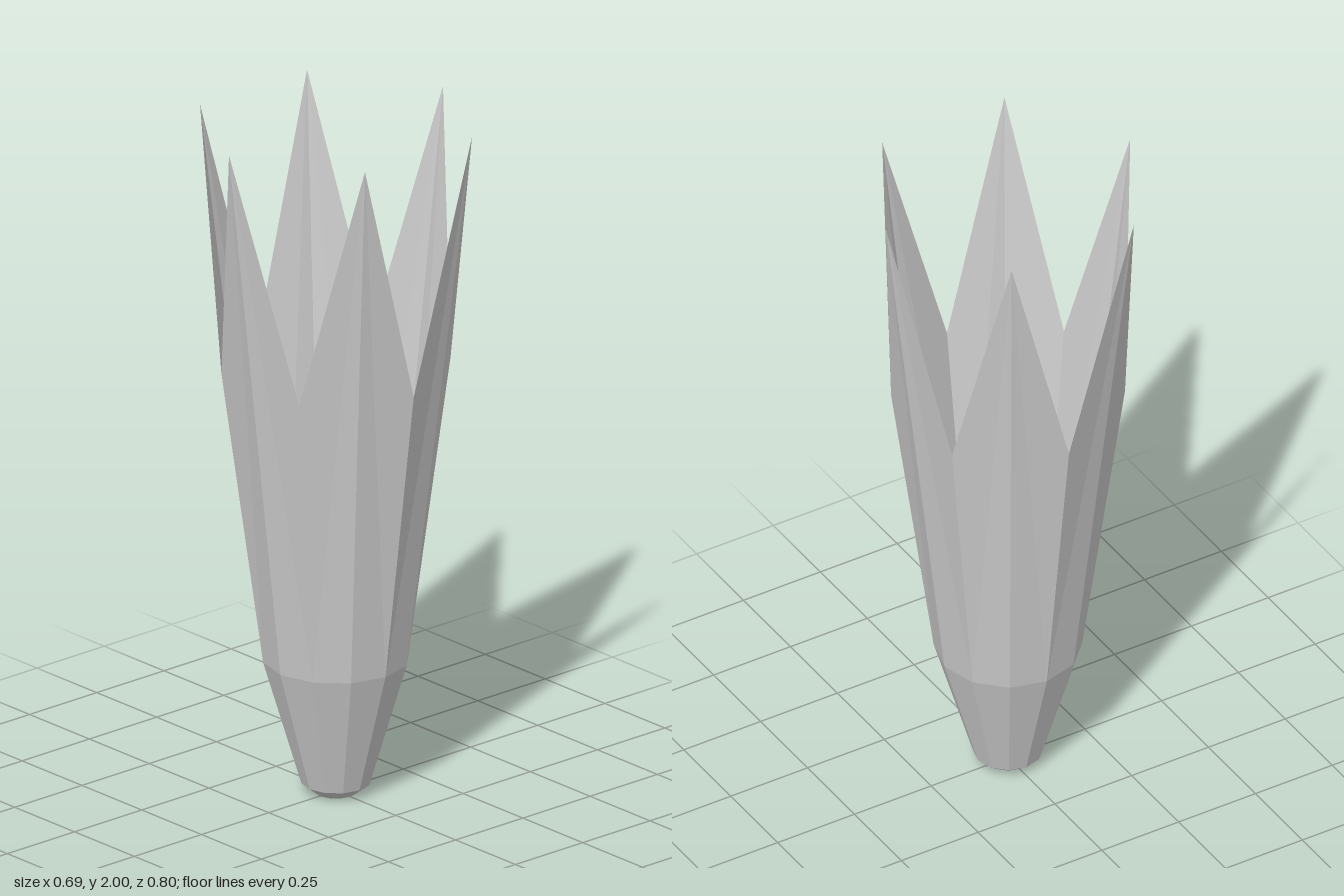
import * as THREE from 'three';

const SIDES = 12;

// Ring corner k: even corners face the petal tips, odd ones the notches
function corner(radius, y, k) {
  const a = (k / SIDES) * Math.PI * 2;
  return [radius * Math.sin(a), y, radius * Math.cos(a)];
}

// Shell between two rings; each ring is a function k -> point
function shell(name, lower, upper, material) {
  const pos = [];
  for (let k = 0; k < SIDES; k++) {
    const a = lower(k), b = lower(k + 1), c = upper(k), d = upper(k + 1);
    // diagonals start at the even corners so each petal is symmetric
    if (k % 2 === 0) pos.push(...a, ...b, ...c, ...b, ...d, ...c);
    else pos.push(...a, ...b, ...d, ...a, ...d, ...c);
  }
  const geometry = new THREE.BufferGeometry();
  geometry.setAttribute('position', new THREE.Float32BufferAttribute(pos, 3));
  geometry.computeVertexNormals();
  const mesh = new THREE.Mesh(geometry, material);
  mesh.name = name;
  return mesh;
}

export function createModel() {
  const group = new THREE.Group();
  group.name = 'flowerCup';
  const material = new THREE.MeshStandardMaterial({
    color: 0xcccccc, flatShading: true, side: THREE.DoubleSide,
  });

  const foot = k => corner(0.06, 0, k);
  const rim = k => corner(0.098, 0.03, k);
  const belly = k => corner(0.207, 0.4, k);
  const crown = k => (k % 2 === 0 ? corner(0.398, 2, k) : corner(0.325, 1.27, k));

  // Closed floor
  const floor = new THREE.Mesh(new THREE.CircleGeometry(0.06, SIDES), material);
  floor.rotation.x = Math.PI / 2;
  floor.name = 'floor';
  group.add(floor);

  // Bevelled foot, flaring cup and six pointed petals
  group.add(shell('foot', foot, rim, material));
  group.add(shell('cup', rim, belly, material));
  group.add(shell('petals', belly, crown, material));
  return group;
}
